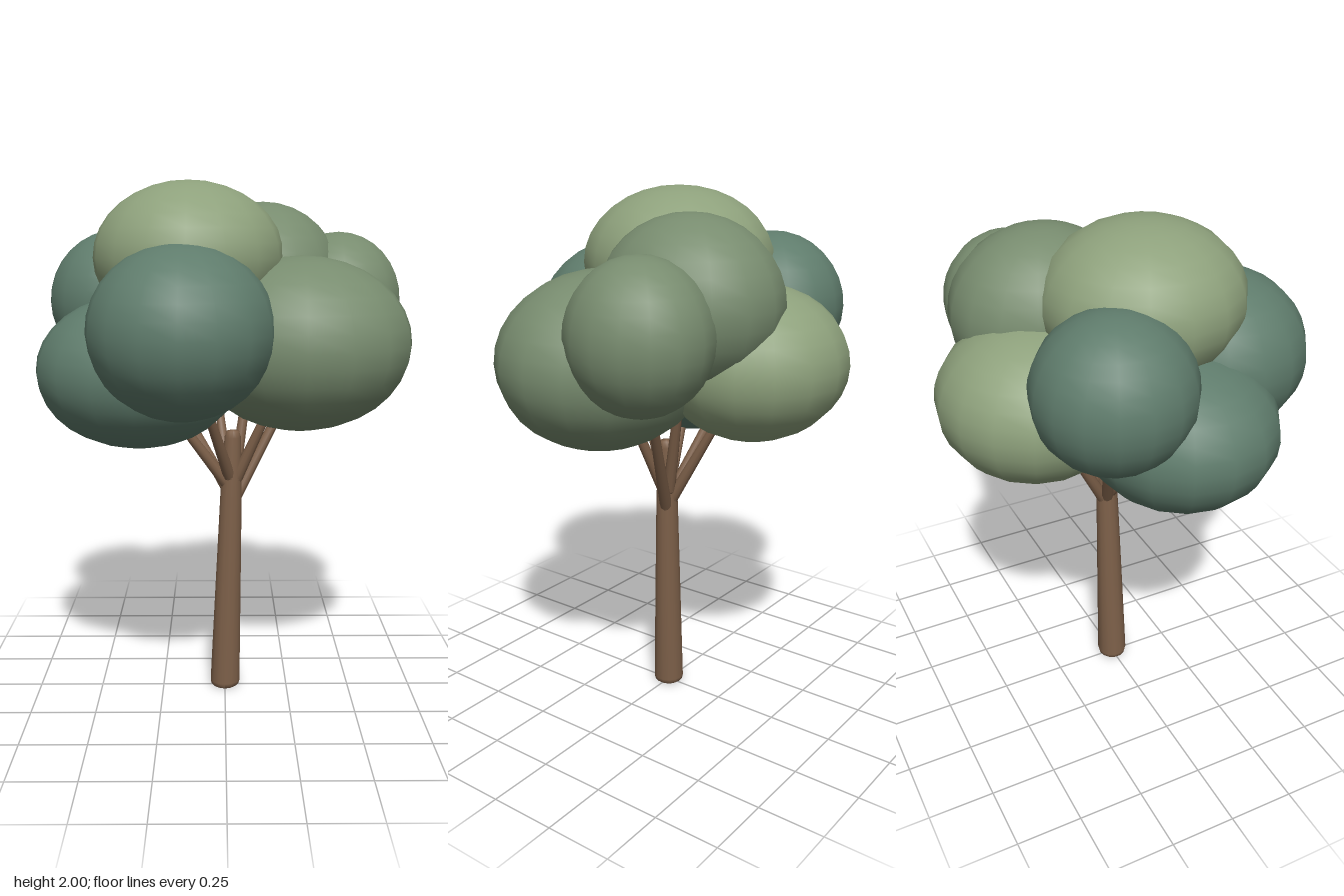
import * as THREE from 'three';

const paint = (color) => new THREE.MeshStandardMaterial({ color });

export function createModel() {
  const tree = new THREE.Group();
  tree.name = 'tree';
  const bark = paint(0x7d6049);
  const light = paint(0x8ea17c), mid = paint(0x788c6f), dark = paint(0x5f7c6c);

  // Leaning, tapered trunk with a rounded foot and tip
  const profile = [
    [0, 0], [0.045, 0], [0.056, 0.008], [0.06, 0.025], [0.052, 0.4],
    [0.043, 0.8], [0.033, 1.03], [0.024, 1.055], [0, 1.06],
  ].map(([r, y]) => new THREE.Vector2(r, y));
  const trunkGeometry = new THREE.LatheGeometry(profile, 14);
  const position = trunkGeometry.attributes.position;
  for (let i = 0; i < position.count; i++) {
    const y = position.getY(i);
    position.setX(i, position.getX(i) + 0.03 * y);
    position.setZ(i, position.getZ(i) - 0.012 * y);
  }
  trunkGeometry.computeVertexNormals();
  const trunk = new THREE.Mesh(trunkGeometry, bark);
  trunk.name = 'trunk';
  tree.add(trunk);

  // Foliage: name, material, centre, radii, height where its branch leaves the trunk
  const clumps = [
    ['crownTop', light, [-0.135, 1.72, 0.05], [0.355, 0.28, 0.37], null],
    ['crownFront', dark, [-0.155, 1.47, 0.34], [0.335, 0.31, 0.34], 0.88],
    ['crownLeftFront', mid, [0.28, 1.405, 0.08], [0.42, 0.325, 0.37], 0.87],
    ['crownLeftBack', mid, [0.45, 1.545, -0.215], [0.25, 0.27, 0.26], 0.79],
    ['crownBackTop', mid, [0.15, 1.62, -0.205], [0.31, 0.31, 0.345], 0.86],
    ['crownBack', light, [-0.06, 1.39, -0.34], [0.36, 0.285, 0.345], 0.82],
    ['crownRightBack', dark, [-0.41, 1.545, -0.195], [0.28, 0.28, 0.285], 0.83],
    ['crownRightFront', dark, [-0.32, 1.305, 0.1], [0.387, 0.287, 0.355], 0.85],
  ];
  const up = new THREE.Vector3(0, 1, 0);
  const clumpGeometry = new THREE.SphereGeometry(1, 16, 16);

  for (const [name, material, centre, radii, forkY] of clumps) {
    const clump = new THREE.Mesh(clumpGeometry, material);
    clump.name = name;
    clump.position.set(...centre);
    clump.scale.set(...radii);
    tree.add(clump);
    if (forkY === null) continue;

    // Tapered branch from the trunk's side into the clump
    const target = new THREE.Vector3(...centre);
    const start = new THREE.Vector3(0.03 * forkY, forkY, -0.012 * forkY);
    const outward = target.clone().sub(start).setY(0).normalize();
    start.addScaledVector(outward, 0.022);
    const end = start.clone().lerp(target, 0.8);
    const direction = end.clone().sub(start);
    const length = direction.length();
    const branch = new THREE.Group();
    branch.name = 'branch';
    branch.position.copy(start);
    branch.quaternion.setFromUnitVectors(up, direction.normalize());
    const limb = new THREE.Mesh(new THREE.CylinderGeometry(0.013, 0.024, length, 10), bark);
    limb.name = 'limb';
    limb.position.y = length / 2;
    const joint = new THREE.Mesh(new THREE.SphereGeometry(0.024, 10, 8), bark);
    joint.name = 'branchRoot';
    branch.add(limb, joint);
    tree.add(branch);
  }
  return tree;
}
